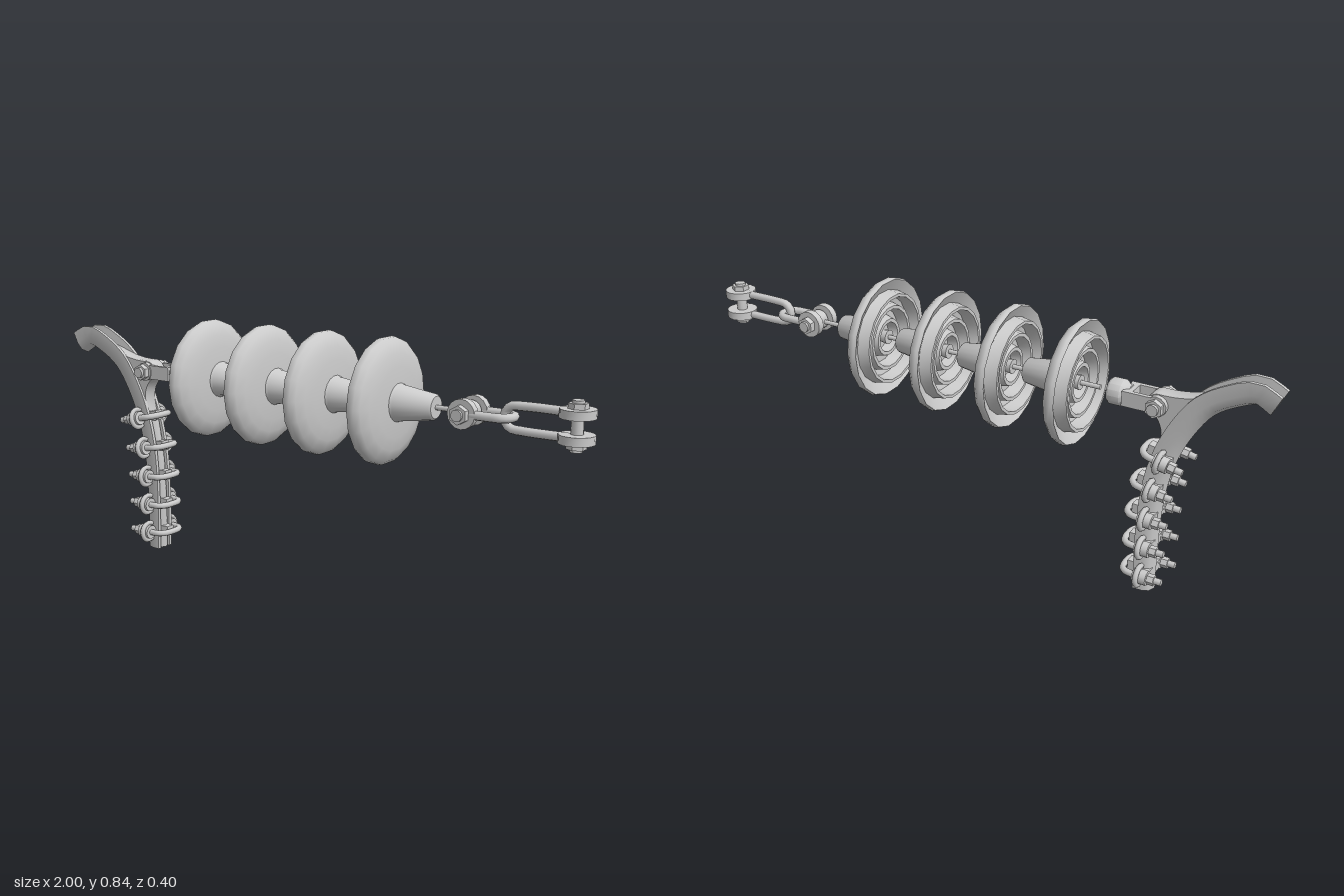
import * as THREE from 'three';
import { toCreasedNormals } from 'three/addons/utils/BufferGeometryUtils.js';

const material = new THREE.MeshStandardMaterial({ color: 0xcccccc, side: THREE.DoubleSide });
const AXIS_Y = 0.643;

function add(parent, name, geometry, x = 0, y = 0, z = 0) {
  const mesh = new THREE.Mesh(geometry, material);
  mesh.name = name;
  mesh.position.set(x, y, z);
  parent.add(mesh);
  return mesh;
}

const crease = (g, a = 0.7) => toCreasedNormals(g, a);
const alongX = (r1, r0, len, n = 12) => new THREE.CylinderGeometry(r1, r0, len, n).rotateZ(-Math.PI / 2);
const alongZ = (r, len, n = 12) => new THREE.CylinderGeometry(r, r, len, n).rotateX(Math.PI / 2);

// Smooth rod through points
function rod(points, radius, segments = 32) {
  const curve = new THREE.CatmullRomCurve3(points.map(p => new THREE.Vector3(...p)), false, 'centripetal');
  return new THREE.TubeGeometry(curve, segments, radius, 8);
}

// Flat outline given thickness, centred on z = 0
function plate(shape, depth) {
  return crease(new THREE.ExtrudeGeometry(shape, {
    depth: depth - 0.01, bevelEnabled: true, bevelThickness: 0.005, bevelSize: 0.004, bevelSegments: 1, curveSegments: 10,
  }).translate(0, 0, -(depth - 0.01) / 2));
}

// Bell disc with ribbed underside and metal cap, opening toward -x
function insulatorDisc() {
  const profile = [
    [0, 0.06], [0.045, 0.06], [0.05, 0.025], [0.062, 0.025], [0.07, 0.055], [0.09, 0.055],
    [0.097, 0.015], [0.108, 0.015], [0.115, 0.05], [0.134, 0.045], [0.14, 0], [0.15, 0],
    [0.157, 0.04], [0.185, 0.025], [0.194, 0.02], [0.198, 0.03], [0.196, 0.045], [0.183, 0.06],
    [0.15, 0.072], [0.11, 0.079], [0.06, 0.082], [0.056, 0.09], [0.04, 0.205], [0.034, 0.211], [0, 0.211],
  ].map(p => new THREE.Vector2(...p));
  return crease(new THREE.LatheGeometry(profile, 18).rotateZ(-Math.PI / 2), 0.75);
}

// Centreline of the clamp: arm tip, bend, then down the leg
const clampPath = new THREE.CatmullRomCurve3([
  [-0.985, 0.715], [-0.93, 0.742], [-0.86, 0.718], [-0.78, 0.665], [-0.715, 0.57],
  [-0.673, 0.47], [-0.65, 0.37], [-0.64, 0.26], [-0.638, 0.13], [-0.64, 0],
].map(([x, y]) => new THREE.Vector3(x, y, 0)));

// Open channel swept along the clamp centreline
function channel() {
  const section = [[1, 1], [1, 0], [0.75, -0.65], [0, -1], [-0.75, -0.65], [-1, 0], [-1, 1],
    [-0.65, 1], [-0.55, 0.1], [0, -0.2], [0.55, 0.1], [0.65, 1]];
  const n = section.length, steps = 36, pos = [], index = [];
  for (let i = 0; i <= steps; i++) {
    const u = i / steps, p = clampPath.getPointAt(u), t = clampPath.getTangentAt(u);
    const depth = 0.04 - 0.009 * u;
    for (const [z, d] of section) pos.push(p.x - t.y * d * depth, p.y + t.x * d * depth, z * 0.034);
    if (i === steps) continue;
    for (let j = 0; j < n; j++) {
      const a = i * n + j, b = i * n + (j + 1) % n;
      index.push(a, b, a + n, b, b + n, a + n);
    }
  }
  const caps = THREE.ShapeUtils.triangulateShape(section.map(p => new THREE.Vector2(...p)), []);
  for (const [a, b, c] of caps) {
    index.push(a, b, c, a + steps * n, c + steps * n, b + steps * n);
  }
  // Wind faces outward
  for (let k = 0; k < index.length; k += 3) [index[k + 1], index[k + 2]] = [index[k + 2], index[k + 1]];
  const g = new THREE.BufferGeometry();
  g.setAttribute('position', new THREE.Float32BufferAttribute(pos, 3));
  g.setIndex(index);
  g.computeVertexNormals();
  return crease(g, 0.8);
}

// U-bolt around the leg, with lugs, curved washers and nuts
function legBolt() {
  const g = new THREE.Group();
  g.name = 'legBolt';
  add(g, 'uBolt', rod([[-0.07, 0, -0.056], [0.02, 0, -0.056], [0.052, 0, -0.05], [0.066, 0, -0.03],
    [0.069, 0, 0], [0.066, 0, 0.03], [0.052, 0, 0.05], [0.02, 0, 0.056], [-0.07, 0, 0.056]], 0.011));
  add(g, 'saddle', new THREE.BoxGeometry(0.03, 0.032, 0.11), -0.012);
  add(g, 'keeperBridge', new THREE.BoxGeometry(0.035, 0.034, 0.032), 0.04);
  for (const s of [-1, 1]) {
    add(g, 'lug', alongX(0.024, 0.024, 0.045), -0.005, 0, s * 0.056);
    const washer = new THREE.TorusGeometry(0.031, 0.009, 6, 14, Math.PI * 1.35)
      .rotateZ(-Math.PI * 0.675).rotateY(-s * Math.PI / 2);
    add(g, 'curvedWasher', washer, 0.002, 0, s * 0.054);
    add(g, 'nut', crease(alongX(0.018, 0.018, 0.022, 6)), -0.04, 0, s * 0.056);
    add(g, 'boltEnd', alongX(0.011, 0.011, 0.012, 8), -0.068, 0, s * 0.056);
  }
  return g;
}

// U-shaped shackle in the XZ plane; bend at x = 0, eyes at x = length
function shackle(length, half, eyeR, eyeT, boltHalf, flip) {
  const g = new THREE.Group();
  const pts = [[length, 0, -half], [0.075, 0, -half], [0.035, 0, -half * 0.9], [0.018, 0, -half * 0.5], [0.014, 0, 0]];
  const mirrored = pts.slice(0, -1).reverse().map(([x, y, z]) => [x, y, -z]);
  add(g, 'bow', rod([...pts, ...mirrored], 0.014));
  for (const s of [-1, 1]) add(g, 'eye', crease(alongZ(eyeR, eyeT, 16)), length, 0, s * half);
  add(g, 'bolt', alongZ(0.018, boltHalf * 2), length);
  add(g, 'boltHead', crease(alongZ(0.029, 0.02, 6)), length, 0, -boltHalf + 0.018);
  add(g, 'nut', crease(alongZ(0.029, 0.02, 6)), length, 0, boltHalf - 0.018);
  if (flip) g.rotation.y = Math.PI;
  return g;
}

export function createModel() {
  const model = new THREE.Group();
  model.name = 'strainInsulatorAssembly';

  // Insulator string
  const string = new THREE.Group();
  string.name = 'insulatorString';
  model.add(string);
  const discGeometry = insulatorDisc();
  for (let i = 0; i < 4; i++) {
    const x = -0.41 + i * 0.2335;
    add(string, 'insulatorDisc', discGeometry, x, AXIS_Y);
    add(string, 'pin', alongX(0.008, 0.008, 0.11, 8), x + 0.015, AXIS_Y);
    add(string, 'pinCollar', alongX(0.018, 0.024, 0.04), x + 0.045, AXIS_Y);
  }
  add(string, 'endPin', alongX(0.008, 0.008, 0.1, 8), 0.54, AXIS_Y);
  add(string, 'endEye', crease(alongZ(0.034, 0.03, 14)), 0.61, AXIS_Y);

  // Two interlocked shackles at the anchor end
  const inner = shackle(0.155, 0.038, 0.045, 0.024, 0.078, true);
  inner.name = 'innerShackle';
  inner.position.set(0.765, AXIS_Y, 0);
  const outer = shackle(0.235, 0.036, 0.052, 0.026, 0.073, false);
  outer.name = 'outerShackle';
  outer.rotation.x = Math.PI / 2;
  outer.position.set(0.71, AXIS_Y, 0);
  model.add(inner, outer);

  // Socket clevis between string and clamp
  const clevis = new THREE.Group();
  clevis.name = 'socketClevis';
  model.add(clevis);
  const socket = [[0, 0], [0.03, 0], [0.032, 0.012], [0.042, 0.025], [0.042, 0.06], [0.036, 0.068], [0, 0.068]]
    .map(p => new THREE.Vector2(...p));
  add(clevis, 'socket', crease(new THREE.LatheGeometry(socket, 14).rotateZ(-Math.PI / 2)), -0.55, AXIS_Y);
  for (const s of [-1, 1]) {
    add(clevis, 'strap', new THREE.BoxGeometry(0.11, 0.048, 0.014), -0.59, AXIS_Y, s * 0.034);
    add(clevis, 'strapEye', crease(alongZ(0.032, 0.016, 14)), -0.645, AXIS_Y, s * 0.036);
  }
  add(clevis, 'clevisYoke', new THREE.BoxGeometry(0.025, 0.048, 0.08), -0.552, AXIS_Y);
  add(clevis, 'clevisBolt', alongZ(0.018, 0.15), -0.645, AXIS_Y);
  for (const s of [-1, 1]) add(clevis, 'clevisNut', crease(alongZ(0.028, 0.018, 6)), -0.645, AXIS_Y, s * 0.056);

  // Tension clamp: channel, gusset with eye, and keeper in the leg
  const clamp = new THREE.Group();
  clamp.name = 'tensionClamp';
  model.add(clamp);
  add(clamp, 'clampChannel', channel());
  const gusset = new THREE.Shape();
  gusset.moveTo(-0.83, 0.712);
  gusset.quadraticCurveTo(-0.73, 0.672, -0.645, 0.676);
  gusset.absarc(-0.645, AXIS_Y, 0.033, Math.PI / 2, -Math.PI / 3, true);
  gusset.quadraticCurveTo(-0.685, 0.57, -0.645, 0.47);
  gusset.lineTo(-0.675, 0.46);
  gusset.lineTo(-0.73, 0.58);
  gusset.lineTo(-0.79, 0.66);
  add(clamp, 'gusset', plate(gusset, 0.05));
  const keeperPoints = [0.49, 0.37, 0.26, 0.13, 0.002].map((y, i) => [[-0.655, -0.633, -0.624, -0.622, -0.624][i], y, 0]);
  add(clamp, 'keeper', rod(keeperPoints, 0.02, 20));

  // Five U-bolts following the leg
  for (const [x, y, tilt] of [[-0.675, 0.475, 0.2], [-0.65, 0.372, 0.12], [-0.64, 0.27, 0.04], [-0.638, 0.168, 0], [-0.638, 0.066, 0]]) {
    const bolt = legBolt();
    bolt.position.set(x, y, 0);
    bolt.rotation.z = tilt;
    model.add(bolt);
  }
  return model;
}
